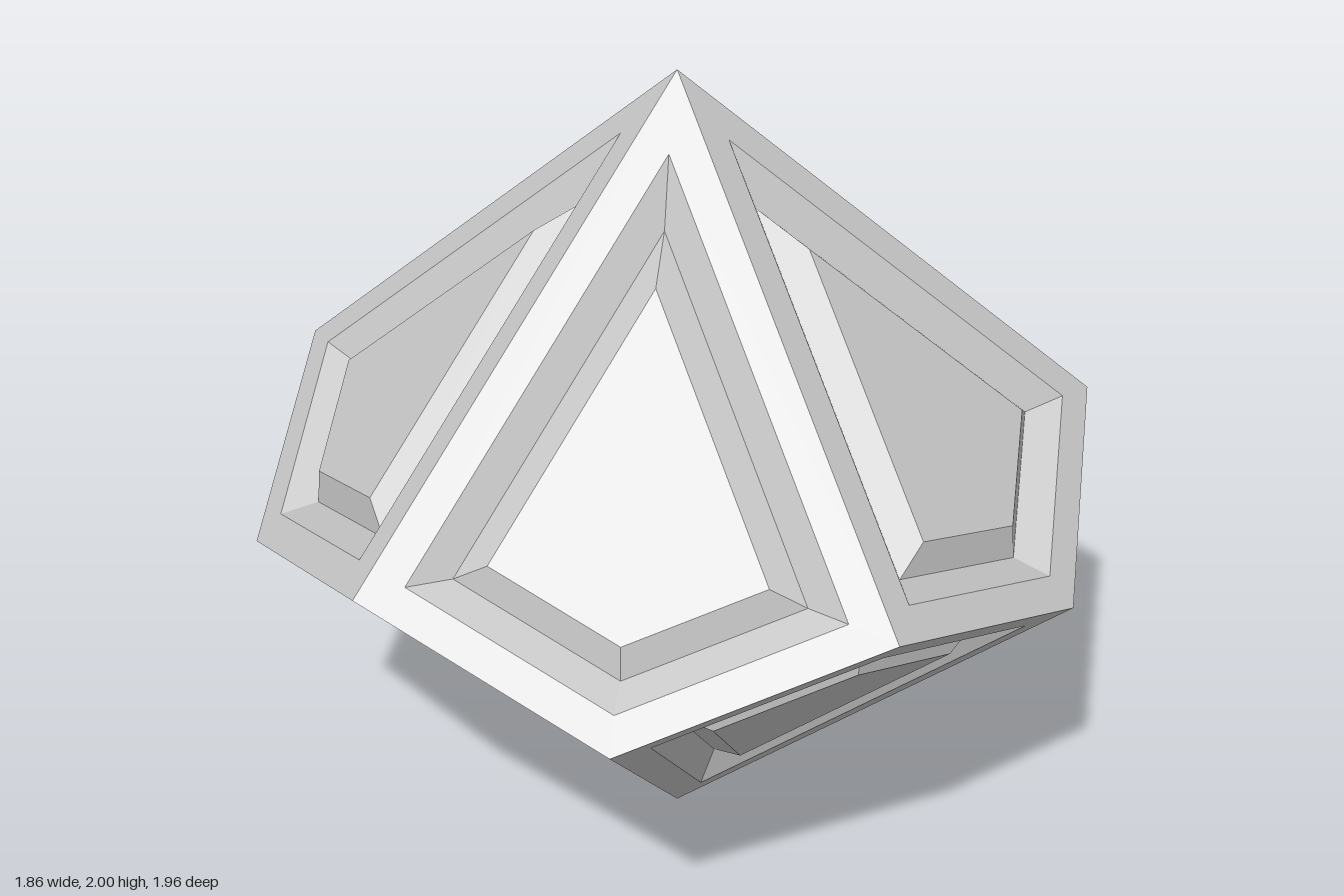
import * as THREE from 'three';

const R = 0.98, MID = 1, BUMP = Math.tan(Math.PI / 10) ** 2; // zigzag belt that keeps every kite flat
const STEP = Math.PI / 5;

// Corners of one upper kite facing +z, anticlockwise from the tip
const side = (s) => new THREE.Vector3(s * R * Math.sin(STEP), MID + BUMP, R * Math.cos(STEP));
const tip = new THREE.Vector3(0, 2, 0);
const foot = new THREE.Vector3(0, MID - BUMP, R);
const kite = [tip, side(-1), foot, side(1)];
const normal = new THREE.Vector3(0, R, 1 + BUMP).normalize();
const centre = tip.clone().lerp(foot, 0.674); // centre of the inscribed circle

// Kite outline shrunk evenly toward its centre and sunk below the face
const ring = (scale, depth) => kite.map((p) =>
  centre.clone().lerp(p, scale).addScaledVector(normal, -depth));

function facets(quads) {
  const points = quads.flatMap(([a, b, c, d]) => [a, b, c, a, c, d]);
  const geometry = new THREE.BufferGeometry().setFromPoints(points);
  geometry.computeVertexNormals();
  return geometry;
}

// Band of four quads between an outer and an inner outline
const band = (outer, inner) => facets(outer.map((p, i) => {
  const j = (i + 1) % 4;
  return [p, outer[j], inner[j], inner[i]];
}));

export function createModel() {
  const model = new THREE.Group();
  model.name = 'tenSidedDie';
  const material = new THREE.MeshStandardMaterial({ color: 0xcccccc, flatShading: true });

  const edge = ring(1, 0), lip = ring(0.812, 0), valley = ring(0.655, 0.05), top = ring(0.517, 0);
  const parts = {
    rim: band(edge, lip),
    grooveWall: band(lip, valley),
    panelBevel: band(valley, top),
    panel: facets([top]),
  };

  // Five kites around the upper half; the lower half is the same turned over
  for (const half of ['upper', 'lower']) {
    const group = new THREE.Group();
    group.name = half + 'Half';
    for (let k = 0; k < 5; k++) {
      const face = new THREE.Group();
      face.name = half + 'Face' + (k + 1);
      for (const [name, geometry] of Object.entries(parts)) {
        const mesh = new THREE.Mesh(geometry, material);
        mesh.name = name;
        face.add(mesh);
      }
      face.rotation.y = STEP * (2 * k + 1);
      group.add(face);
    }
    if (half === 'lower') {
      group.rotation.x = Math.PI;
      group.position.y = 2;
    }
    model.add(group);
  }
  return model;
}
